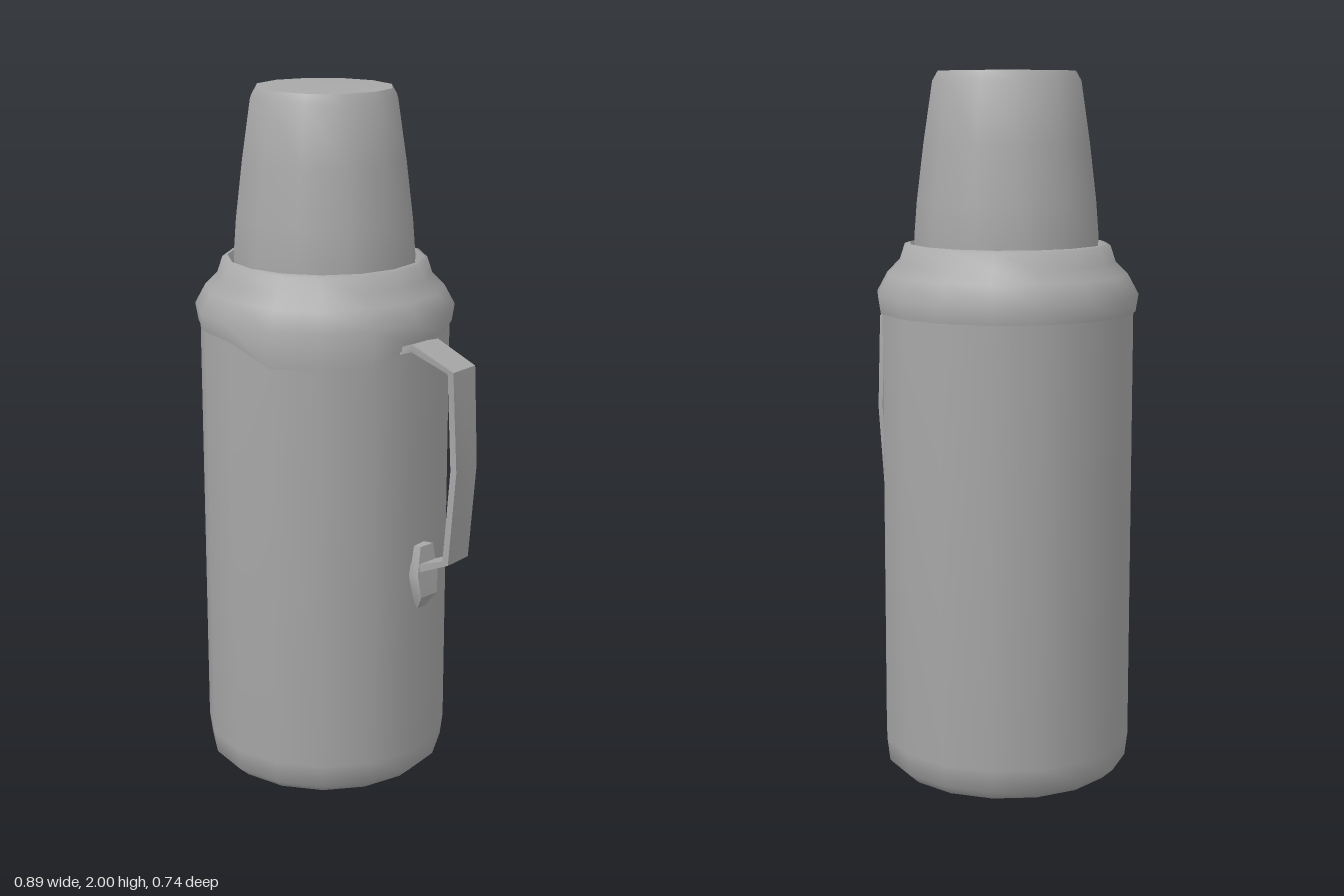
import * as THREE from 'three';
import { toCreasedNormals } from 'three/addons/utils/BufferGeometryUtils.js';

const AXIS_X = -0.075; // the flask stands off centre to leave room for the handle
const grey = new THREE.MeshStandardMaterial({ color: 0xa8a8a8 });
grey.name = 'plain grey';

function addMesh(group, name, geometry, crease = 0.9) {
  const mesh = new THREE.Mesh(toCreasedNormals(geometry, crease), grey);
  mesh.name = name;
  group.add(mesh);
  return mesh;
}

// Turned part from [radius, height] pairs, listed bottom to top
function turned(profile, sides, zScale = 1) {
  const geometry = new THREE.LatheGeometry(profile.map(([r, y]) => new THREE.Vector2(r, y)), sides);
  geometry.scale(1, 1, zScale);
  return geometry;
}

// Flat strap swept down a path of [x, y, zFront, zBack, twist]
function strap(path, thickness) {
  const positions = [], index = [];
  path.forEach(([x, y, zf, zb, twist], i) => {
    const a = path[Math.max(i - 1, 0)], b = path[Math.min(i + 1, path.length - 1)];
    const length = Math.hypot(b[0] - a[0], b[1] - a[1]);
    const nx = -(b[1] - a[1]) / length * thickness / 2;
    const ny = (b[0] - a[0]) / length * thickness / 2;
    positions.push(
      x + nx + twist, y + ny, zf, x + nx - twist, y + ny, zb,
      x - nx - twist, y - ny, zb, x - nx + twist, y - ny, zf);
    if (i === 0) return;
    for (let k = 0; k < 4; k++) {
      const p = (i - 1) * 4 + k, q = (i - 1) * 4 + (k + 1) % 4;
      index.push(p, p + 4, q + 4, p, q + 4, q);
    }
  });
  const e = (path.length - 1) * 4;
  index.push(0, 1, 2, 0, 2, 3, e, e + 2, e + 1, e, e + 3, e + 2);
  const geometry = new THREE.BufferGeometry();
  geometry.setAttribute('position', new THREE.Float32BufferAttribute(positions, 3));
  geometry.setIndex(index);
  return geometry;
}

export function createModel() {
  const model = new THREE.Group();
  model.name = 'vacuumFlask';
  const flask = new THREE.Group();
  flask.name = 'flask';
  flask.position.x = AXIS_X;
  model.add(flask);

  // Body with a bevelled foot
  addMesh(flask, 'body', turned([
    [0, 0], [0.315, 0.005], [0.348, 0.035], [0.356, 0.1], [0.356, 1.36], [0.3, 1.4],
  ], 16));

  // Collar, whose lower edge dips beside the handle
  const collar = turned([
    [0.34, 1.345], [0.362, 1.335], [0.37, 1.385], [0.34, 1.44],
    [0.305, 1.475], [0.29, 1.52], [0.275, 1.525], [0.255, 1.48], [0.2, 1.48],
  ], 16);
  const p = collar.attributes.position;
  for (let i = 0; i < p.count; i++) {
    const angle = Math.atan2(p.getZ(i), p.getX(i));
    if (p.getY(i) < 1.36 && angle > 0.2 && angle < 1.3) p.setY(i, p.getY(i) - 0.055);
  }
  addMesh(flask, 'collar', collar, 1.1);

  // Tapered drinking cup used as the lid
  addMesh(flask, 'cupLid', turned([
    [0.265, 1.47], [0.268, 1.54], [0.26, 1.64], [0.24, 1.8], [0.214, 1.97], [0.198, 1.997], [0, 2],
  ], 12, 0.96));

  // Handle strap, slightly twisted
  addMesh(model, 'handle', strap([
    [0.25, 1.31, 0.05, -0.07, 0], [0.31, 1.33, 0.04, -0.06, 0],
    [0.415, 1.275, 0.005, -0.095, 0.006], [0.43, 1.0, 0.005, -0.095, 0.008],
    [0.412, 0.73, 0.01, -0.085, 0.006], [0.315, 0.685, 0, -0.07, 0],
    [0.255, 0.67, 0.01, -0.07, 0],
  ], 0.022), 0.5);

  // Lower mount of the handle
  addMesh(model, 'handleMount', strap([
    [0.285, 0.74, -0.01, -0.06, 0], [0.295, 0.66, 0.01, -0.07, 0],
    [0.3, 0.6, 0, -0.065, 0], [0.27, 0.56, -0.02, -0.05, 0],
  ], 0.04), 0.5);

  return model;
}
